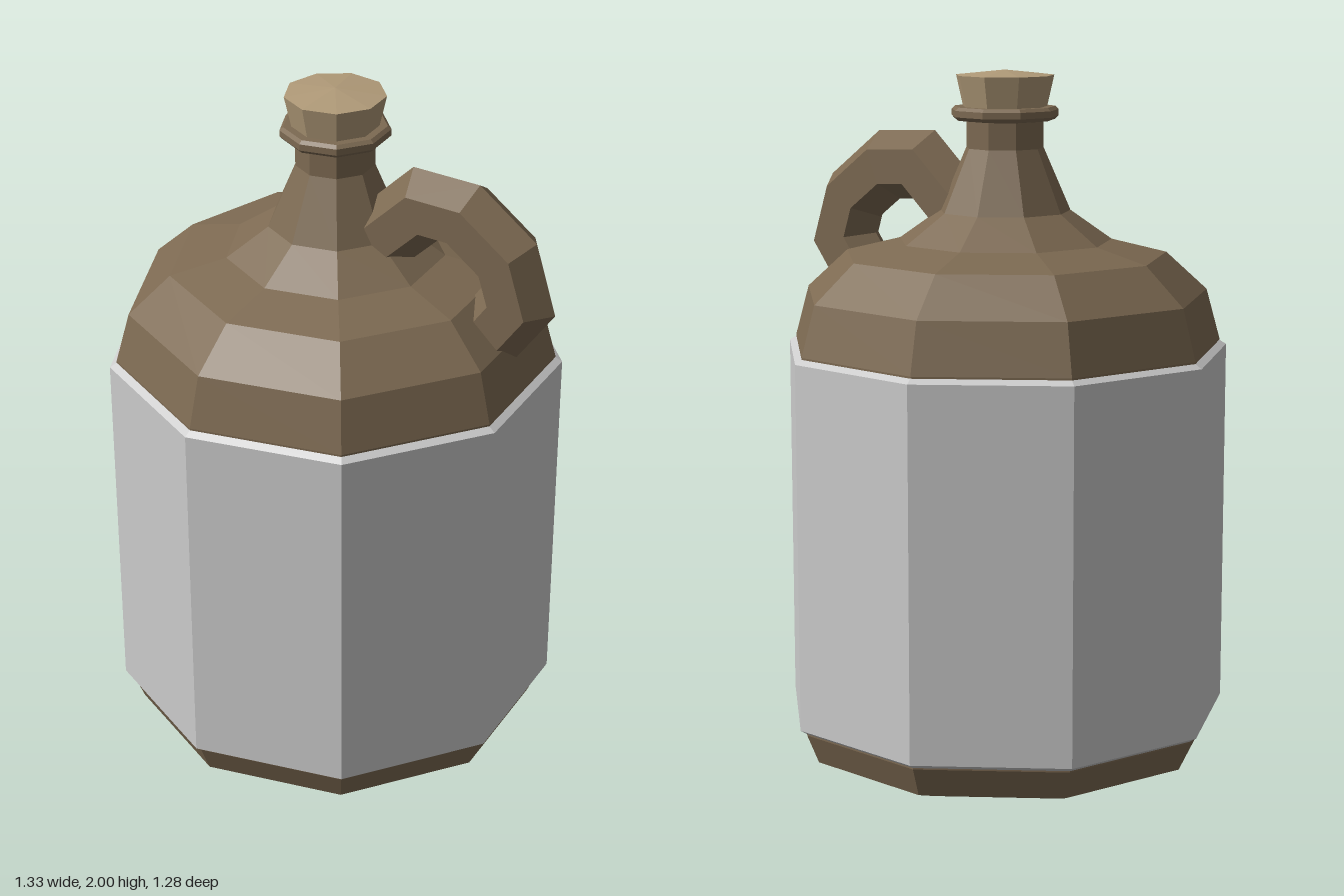
import * as THREE from 'three';

const SIDES = 9;
const AXIS_X = -0.015;

const mat = (color) => new THREE.MeshStandardMaterial({ color, flatShading: true });

function addMesh(group, name, geometry, material) {
  const flat = geometry.index ? geometry.toNonIndexed() : geometry;
  flat.computeVertexNormals();
  const mesh = new THREE.Mesh(flat, material);
  mesh.name = name;
  group.add(mesh);
  return mesh;
}

// Nine-sided turned part, profile as [radius, y] from bottom to top
function turned(profile) {
  const pts = profile.map(([r, y]) => new THREE.Vector2(r, y));
  return new THREE.LatheGeometry(pts, SIDES, -Math.PI / 2).translate(AXIS_X, 0, 0);
}

// Mitred hexagonal bar swept along a path in the z = 0 plane
function hexBar(path, radius) {
  const pts = path.map(([x, y]) => new THREE.Vector2(x, y));
  const n = pts.length, pos = [], idx = [];
  const normal = (i) => {
    const d = pts[i + 1].clone().sub(pts[i]).normalize();
    return new THREE.Vector2(-d.y, d.x);
  };
  for (let i = 0; i < n; i++) {
    const a = normal(Math.max(i - 1, 0)), b = normal(Math.min(i, n - 2));
    const m = a.clone().add(b).normalize();
    const miter = radius / m.dot(a);
    for (let k = 0; k < 6; k++) {
      const t = (k * Math.PI) / 3;
      const s = Math.cos(t) * miter;
      pos.push(pts[i].x + m.x * s, pts[i].y + m.y * s, Math.sin(t) * radius);
    }
  }
  for (let i = 0; i < n - 1; i++) {
    for (let k = 0; k < 6; k++) {
      const a = i * 6 + k, b = i * 6 + ((k + 1) % 6);
      idx.push(a, b, a + 6, b, b + 6, a + 6);
    }
  }
  // end caps
  const e = (n - 1) * 6;
  for (let k = 1; k < 5; k++) idx.push(0, k + 1, k, e, e + k, e + k + 1);
  const geo = new THREE.BufferGeometry();
  geo.setAttribute('position', new THREE.Float32BufferAttribute(pos, 3));
  geo.setIndex(idx);
  return geo;
}

export function createModel() {
  const jug = new THREE.Group();
  jug.name = 'jug';
  const brown = mat(0x7d6a52), cork = mat(0xb09a78), grey = mat(0xcccccc);

  // Body with rounded base, shoulder and neck
  addMesh(jug, 'body', turned([
    [0, 0.005], [0.495, 0.005], [0.595, 0.04], [0.63, 0.125],
    [0.63, 1.22], [0.59, 1.365], [0.47, 1.475], [0.31, 1.515],
    [0.19, 1.6], [0.112, 1.78], [0.112, 1.88], [0, 1.88],
  ]), brown);

  // Wrap around the straight wall, bevelled at both edges
  addMesh(jug, 'label', turned([
    [0.62, 0.123], [0.65, 0.142], [0.65, 1.202], [0.62, 1.221],
  ]), grey);

  // Lip ring round the mouth
  addMesh(jug, 'lip', turned([
    [0.1, 1.855], [0.145, 1.86], [0.155, 1.87], [0.155, 1.888], [0.145, 1.897], [0.1, 1.897],
  ]), brown);

  // Flared stopper with slightly domed top
  addMesh(jug, 'stopper', turned([
    [0, 1.87], [0.116, 1.87], [0.142, 1.985], [0, 2],
  ]), cork);

  // Handle from neck to shoulder, ends buried in the body
  addMesh(jug, 'handle', hexBar([
    [0.14, 1.595], [0.265, 1.717], [0.39, 1.711],
    [0.513, 1.615], [0.552, 1.489], [0.43, 1.315],
  ], 0.1), brown);

  return jug;
}
